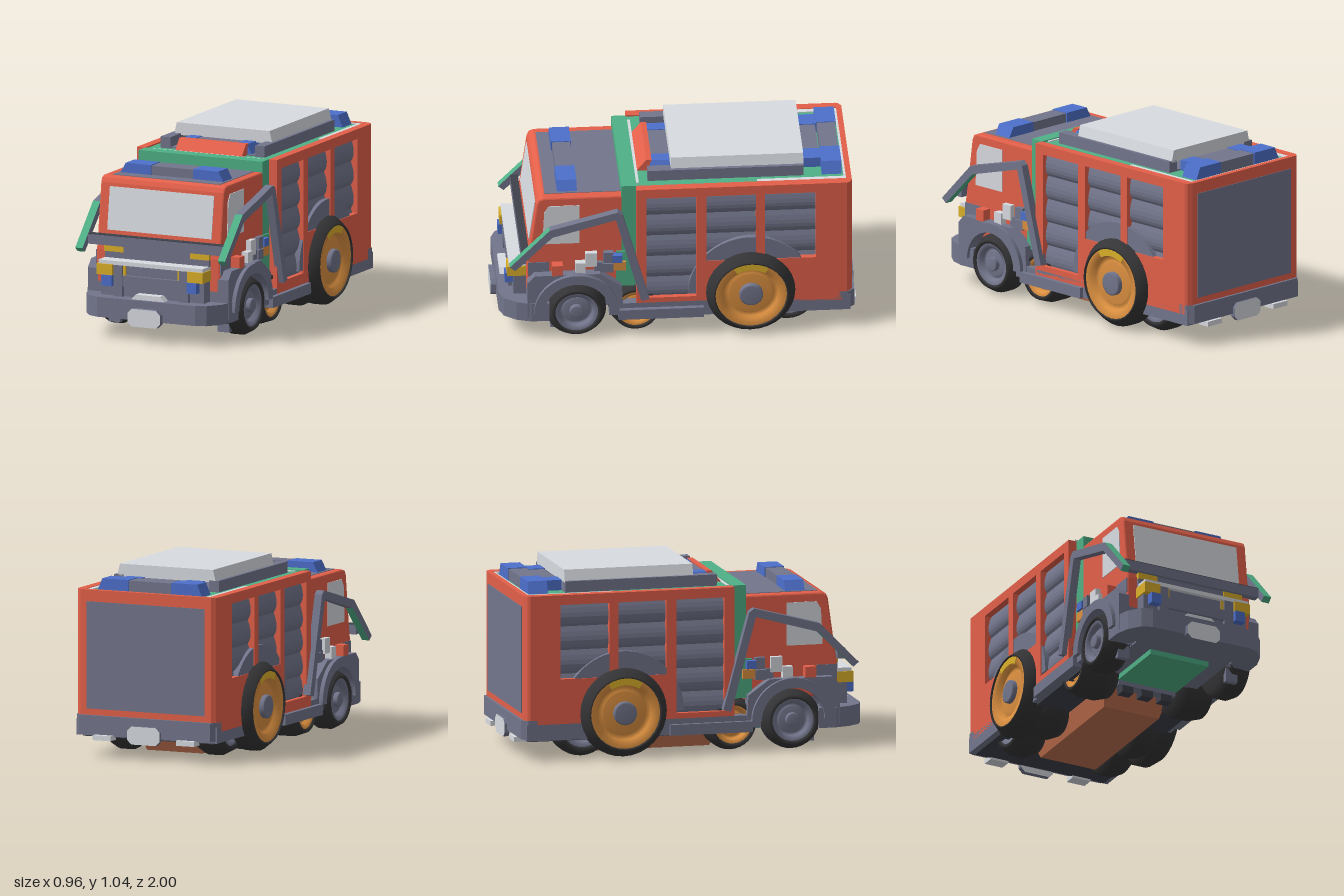
import * as THREE from 'three';

const mat = (name, color) => {
  const m = new THREE.MeshStandardMaterial({ color });
  m.name = name;
  return m;
};

export function createModel() {
  const red = mat('red paint', 0xe4604a), grey = mat('slate grey', 0x73768c), light = mat('pale grey', 0xd8dbe1);
  const green = mat('green', 0x4fb086), blue = mat('blue lamp', 0x4d70cb), yellow = mat('yellow lamp', 0xdcb02a);
  const orange = mat('orange rim', 0xdc9040), dark = mat('dark trim', 0x3f414b), rubber = mat('rubber', 0x353537);
  const brown = mat('brown tank', 0xc0704f);
  const model = new THREE.Group();
  model.name = 'fireTruck';

  const add = (name, geo, material) => {
    const m = new THREE.Mesh(geo, material);
    m.name = name;
    model.add(m);
    return m;
  };
  // Box given by its extents
  const box = (name, material, x0, x1, y0, y1, z0, z1) => add(name,
    new THREE.BoxGeometry(x1 - x0, y1 - y0, z1 - z0).translate((x0 + x1) / 2, (y0 + y1) / 2, (z0 + z1) / 2), material);
  // Box on both sides
  const pair = (name, material, x0, x1, ...r) => {
    box(name + 'Left', material, x0, x1, ...r);
    box(name + 'Right', material, -x1, -x0, ...r);
  };
  const shapeOf = pts => new THREE.Shape(pts.map(p => new THREE.Vector2(p[0], p[1])));
  const extrude = (shape, depth, opt = {}) =>
    new THREE.ExtrudeGeometry(shape, { depth, bevelEnabled: false, curveSegments: 20, ...opt });
  // Side profile in (z, y), thickened from x0 to x1
  const side = (name, material, shape, x0, x1) =>
    add(name, extrude(shape, x1 - x0).rotateY(-Math.PI / 2).translate(x1, 0, 0), material);
  const sides = (name, material, shape, x0, x1) => {
    side(name + 'Left', material, shape, x0, x1);
    side(name + 'Right', material, shape, -x1, -x0);
  };
  // Half outline in plan (x, z), mirrored and thickened in y
  const plan = (name, material, half, y0, y1) => {
    const pts = [...half, ...half.map(([x, z]) => [-x, z]).reverse()];
    add(name, extrude(shapeOf(pts), y1 - y0).rotateX(Math.PI / 2).translate(0, y1, 0), material);
  };
  // Front outline in (x, y), thickened from z0 to z1
  const front = (name, material, pts, z0, z1) =>
    add(name, extrude(shapeOf(pts), z1 - z0).translate(0, 0, z0), material);
  const rect = (z0, z1, y0, y1) => [[z0, y0], [z1, y0], [z1, y1], [z0, y1]];
  const arcBand = (cz, cy, r, R, a0, a1) => {
    const s = new THREE.Shape();
    s.absarc(cz, cy, R, a0, a1, false);
    s.absarc(cz, cy, r, a1, a0, true);
    return s;
  };

  // Chassis and underside
  box('chassis', grey, -0.43, 0.43, 0.12, 0.21, -0.96, 0.3);
  box('frontChassis', grey, -0.29, 0.29, 0.12, 0.31, 0.3, 0.82);
  box('underside', dark, -0.4, 0.4, 0.112, 0.12, -0.94, 0.3);
  box('greenFloor', green, -0.18, 0.18, 0.09, 0.12, 0.33, 0.71);
  box('crossMember', grey, -0.175, 0.175, 0.065, 0.11, 0.27, 0.33);
  for (const x of [-0.12, 0, 0.12]) box('crossMemberFoot', dark, x - 0.035, x + 0.035, 0.025, 0.066, 0.27, 0.33);
  plan('rearBumper', grey, [[0.43, -0.9], [0.43, -0.95], [0.4, -0.985], [0, -0.985]], 0.13, 0.235);
  const tank = new THREE.BoxGeometry(0.4, 0.115, 0.86);
  const tp = tank.attributes.position;
  for (let i = 0; i < tp.count; i++) if (tp.getY(i) < 0) {
    tp.setX(i, tp.getX(i) * 0.85);
    tp.setZ(i, tp.getZ(i) * 0.87);
  }
  tank.computeVertexNormals();
  add('tank', tank.translate(0, 0.0625, -0.23), brown);
  pair('rearStep', light, 0.2, 0.31, 0.1, 0.128, -1, -0.93);
  pair('frontMudflap', grey, 0.3, 0.37, 0.04, 0.12, 0.66, 0.69);

  // Rear body: core, framed side panels, slatted shutters
  box('bodyCore', grey, -0.37, 0.37, 0.2, 0.88, -0.94, 0.2);
  const panel = shapeOf(rect(-0.94, 0.22, 0.18, 0.93));
  for (const [z0, z1, y0] of [[-0.11, 0.165, 0.24], [-0.44, -0.165, 0.46], [-0.77, -0.49, 0.46]])
    panel.holes.push(new THREE.Path(rect(z0, z1, y0, 0.875).map(p => new THREE.Vector2(...p))));
  sides('sidePanel', red, panel, 0.38, 0.43);
  box('bodyFront', red, -0.38, 0.38, 0.2, 0.9, 0.19, 0.22);
  plan('bodyBack', red, [[0.43, -0.94], [0.423, -0.955], [0.4, -0.97], [0, -0.97], [0, -0.94]], 0.18, 0.93);
  box('backShutter', grey, -0.36, 0.36, 0.27, 0.865, -0.974, -0.966);
  for (const s of [1, -1]) {
    const slat = new THREE.Shape();
    slat.moveTo(s * 0.36, 0.22);
    slat.lineTo(s * 0.39, 0.22);
    for (let y = 0.22; y < 0.85; y += 0.132) {
      slat.quadraticCurveTo(s * 0.425, y + 0.04, s * 0.39, y + 0.132);
    }
    slat.lineTo(s * 0.36, 0.88);
    add('shutterSlats', extrude(slat, 0.98, { curveSegments: 6 }).translate(0, 0, -0.79), grey);
  }
  sides('rearArch', grey, arcBand(-0.41, 0.255, 0.23, 0.345, 0, Math.PI), 0.385, 0.425);

  // Roof
  box('roofDeck', green, -0.38, 0.38, 0.87, 0.922, -0.945, 0.22);
  box('greenBulkhead', green, -0.38, 0.38, 0.3, 0.93, 0.22, 0.3);
  pair('roofStrip', light, 0.35, 0.38, 0.921, 0.927, -0.94, -0.45);
  box('roofStripBack', light, -0.35, 0.35, 0.921, 0.927, -0.94, -0.928);
  box('roofStripFront', light, -0.34, 0.34, 0.921, 0.927, 0.2, 0.215);
  box('roofPlate', grey, -0.3, 0.3, 0.92, 0.93, -0.71, 0.14);
  pair('roofRail', grey, 0.26, 0.32, 0.92, 0.985, -0.71, 0.15);
  front('roofPanel', light, [[-0.302, 0.975], [0.302, 0.975], [0.285, 1.045], [-0.285, 1.045]], -0.71, 0.02);
  side('redRoofBox', red, shapeOf([[0.205, 0.92], [0.15, 0.987], [0.12, 0.987], [0.12, 0.92]]), -0.205, 0.205);
  const lightBar = (name, y0, y1, z0, z1, low, high, mid) => {
    for (const s of [1, -1])
      front(name + 'Lamp', blue, [[s * mid, y0], [s * low, y0], [s * high, y1], [s * mid, y1]], z0, z1);
    box(name + 'Centre', grey, -mid, mid, y0, y1 - 0.004, z0 + 0.005, z1 - 0.005);
  };
  lightBar('cabLightBar', 0.868, 0.928, 0.54, 0.65, 0.318, 0.285, 0.13);
  lightBar('rearLightBar', 0.92, 0.99, -0.92, -0.81, 0.32, 0.29, 0.13);
  lightBar('rearInnerBar', 0.92, 0.98, -0.81, -0.71, 0.235, 0.235, 0.13);
  lightBar('roofLightBar', 0.92, 0.982, 0.0, 0.13, 0.238, 0.2, 0.13);

  // Cab with slightly rounded edges
  const cabShape = shapeOf([[0.29, 0.29], [0.82, 0.29], [0.82, 0.47], [0.805, 0.56], [0.767, 0.835],
    [0.755, 0.86], [0.73, 0.87], [0.29, 0.87]]);
  const b = 0.01;
  add('cab', extrude(cabShape, 0.76 - 2 * b, { bevelEnabled: true, bevelSize: b, bevelThickness: b, bevelOffset: -b, bevelSegments: 2 })
    .rotateY(-Math.PI / 2).translate(0.38 - b, 0, 0), red);
  box('cabRoofPlate', grey, -0.33, 0.33, 0.866, 0.873, 0.3, 0.72);
  const screen = add('windscreen', new THREE.BoxGeometry(0.64, 0.24, 0.008), light);
  screen.position.set(0, 0.697, 0.7865);
  screen.rotation.x = -Math.atan(0.038 / 0.275);
  sides('sideWindow', light, shapeOf([[0.53, 0.58], [0.735, 0.58], [0.725, 0.78], [0.7, 0.82], [0.53, 0.82]]), 0.376, 0.384);

  // Nose, grille and lamps
  box('upperGrille', grey, -0.32, 0.32, 0.42, 0.5, 0.79, 0.835);
  pair('upperLamp', yellow, 0.205, 0.322, 0.465, 0.5, 0.8, 0.839);
  box('grille', grey, -0.318, 0.318, 0.23, 0.408, 0.78, 0.89);
  box('noseShelf', light, -0.32, 0.32, 0.408, 0.43, 0.82, 0.915);
  pair('headlamp', yellow, 0.23, 0.326, 0.35, 0.41, 0.815, 0.925);
  pair('grilleMarker', yellow, 0.16, 0.175, 0.35, 0.408, 0.88, 0.9);
  pair('blueLamp', blue, 0.23, 0.29, 0.29, 0.35, 0.86, 0.935);
  pair('grillePost', grey, 0.175, 0.23, 0.2, 0.408, 0.86, 0.912);
  box('grilleBar', grey, -0.23, 0.23, 0.29, 0.35, 0.86, 0.91);
  plan('frontBumper', grey, [[0.435, 0.7], [0.435, 0.8], [0.41, 0.88], [0.36, 0.945], [0.3, 0.97], [0, 0.97], [0, 0.76], [0.3, 0.76], [0.34, 0.7]], 0.12, 0.232);
  front('bumperTopPlate', light, [[-0.1, 0.232], [0.1, 0.232], [0.075, 0.26], [-0.075, 0.26]], 0.9, 0.95);
  const octagon = (name, z0, z1) => front(name, [light, grey], [[-0.1, 0.115], [-0.075, 0.09], [0.075, 0.09], [0.1, 0.115],
    [0.1, 0.165], [0.075, 0.19], [-0.075, 0.19], [-0.1, 0.165]], z0, z1);
  octagon('frontPlate', 0.96, 1);
  octagon('rearPlate', -1, -0.97);

  // Front fenders
  const fender = new THREE.Shape();
  fender.moveTo(0.73, 0.14);
  [[0.82, 0.14], [0.82, 0.36], [0.78, 0.405], [0.42, 0.405], [0.3, 0.32], [0.29, 0.14], [0.37, 0.14]]
    .forEach(p => fender.lineTo(...p));
  fender.absarc(0.55, 0.175, 0.18, Math.PI, 0, true);
  sides('fender', grey, fender, 0.365, 0.432);
  pair('fenderInner', grey, 0.3, 0.37, 0.12, 0.29, 0.73, 0.82);
  pair('cabSidePlate', grey, 0.374, 0.384, 0.38, 0.465, 0.7, 0.815);
  sides('fenderLip', grey, arcBand(0.55, 0.175, 0.18, 0.235, 0, Math.PI), 0.4, 0.455);
  pair('sideSkirt', grey, 0.4, 0.455, 0.12, 0.18, -0.15, 0.32);

  // Small equipment behind the cab doors
  for (const [name, m, z0, z1, y0, y1, x] of [['redBox', red, 0.625, 0.685, 0.4, 0.465, 0.432],
    ['paleBox', light, 0.435, 0.5, 0.44, 0.525, 0.41], ['paleBoxLow', light, 0.5, 0.555, 0.405, 0.47, 0.42],
    ['greyBox', grey, 0.405, 0.45, 0.4, 0.46, 0.4], ['greyBoxTop', grey, 0.345, 0.4, 0.46, 0.525, 0.41],
    ['blueBox', blue, 0.295, 0.35, 0.465, 0.51, 0.42], ['orangeBox', orange, 0.275, 0.345, 0.41, 0.462, 0.41],
    ['greyBoxLow', grey, 0.345, 0.405, 0.4, 0.455, 0.41], ['greenBox', green, 0.23, 0.33, 0.3, 0.52, 0.39]])
    pair(name, m, 0.37, x, y0, y1, z0, z1);

  // Bent arms and the cross bar
  sides('armTip', [grey, green], shapeOf([[0.92, 0.485], [0.89, 0.46], [0.685, 0.665], [0.7, 0.71]]), 0.415, 0.46);
  sides('armBend', grey, shapeOf([[0.7, 0.71], [0.685, 0.665], [0.335, 0.762], [0.195, 0.24], [0.15, 0.25],
    [0.298, 0.79], [0.325, 0.81]]), 0.415, 0.46);
  box('crossBar', grey, -0.415, 0.415, 0.5, 0.555, 0.812, 0.855);
  box('crossBarTop', dark, -0.415, 0.415, 0.553, 0.558, 0.812, 0.855);

  // Wheels
  const wheel = (name, x, y, z, R, w, k, rimMat) => {
    const lathe = pts => new THREE.LatheGeometry(pts.map(p => new THREE.Vector2(...p)), 32).rotateZ(-Math.PI / 2);
    for (const s of [1, -1]) {
      const g = new THREE.Group();
      g.name = name + (s > 0 ? 'Left' : 'Right');
      const h = w / 2, r = R * k;
      [['tyre', lathe([[0, -h], [R * 0.84, -h], [R, -h * 0.4], [R, h * 0.4], [R * 0.84, h], [r, h], [r - 0.002, h - 0.02]]), rubber],
        ['rim', lathe([[r, h - 0.008], [r * 0.78, h - 0.01], [r * 0.77, h - 0.04], [r * 0.62, h - 0.04], [r * 0.6, h - 0.028], [0, h - 0.028]]), rimMat],
        ['hub', lathe([[r * 0.33, h - 0.04], [r * 0.33, h - 0.005], [r * 0.28, h], [0, h]]), grey]]
        .forEach(([n, geo, m]) => {
          const part = new THREE.Mesh(geo, m);
          part.name = n;
          g.add(part);
        });
      g.position.set(s * x, y, z);
      if (s < 0) g.rotation.y = Math.PI;
      model.add(g);
    }
    add(name + 'Axle', new THREE.CylinderGeometry(0.025, 0.025, 2 * x, 12).rotateZ(Math.PI / 2).translate(0, y, z), dark);
  };
  wheel('frontWheel', 0.37, 0.175, 0.55, 0.165, 0.16, 0.72, grey);
  wheel('middleWheel', 0.29, 0.157, 0.22, 0.15, 0.23, 0.72, orange);
  wheel('rearWheel', 0.395, 0.26, -0.41, 0.247, 0.17, 0.8, orange);
  wheel('innerFrontWheel', 0.27, 0.175, -0.35, 0.168, 0.18, 0.7, grey);
  wheel('innerRearWheel', 0.27, 0.185, -0.62, 0.178, 0.18, 0.7, grey);
  sides('rimTopMark', yellow, arcBand(-0.41, 0.26, 0.157, 0.197, 1.05, 2.09), 0.469, 0.475);
  return model;
}
